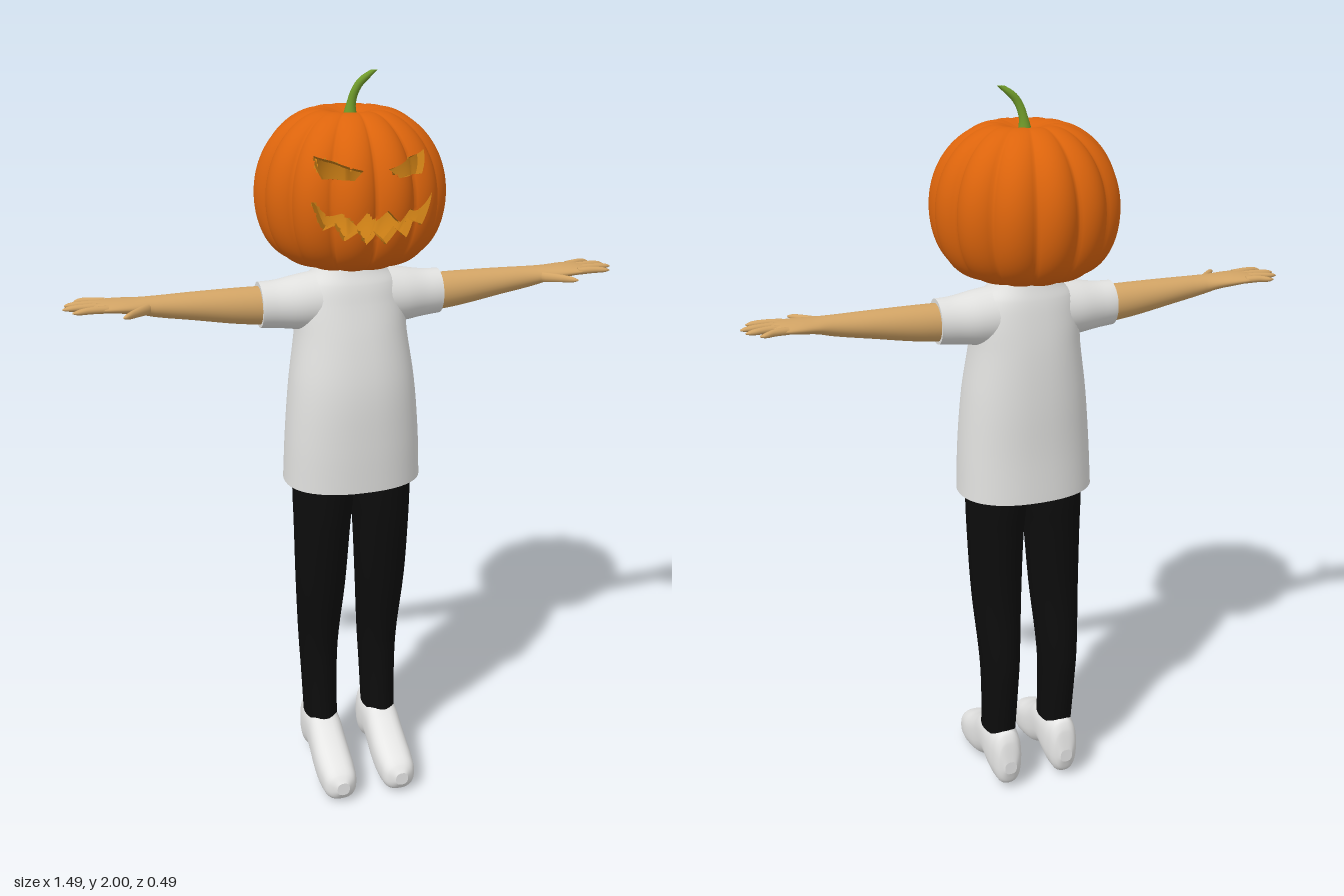
import * as THREE from 'three';

const mat = (name, hex) => Object.assign(new THREE.MeshStandardMaterial({ color: hex }), { name });

function geometryFrom(positions, index) {
  const g = new THREE.BufferGeometry();
  g.setAttribute('position', new THREE.Float32BufferAttribute(positions, 3));
  g.setIndex(index);
  g.computeVertexNormals();
  return g;
}

// Smooth capped body along an axis (0 x, 1 y, 2 z).
// Section: [position, centre u, centre v, radius u, radius v], u and v being the next axes in cyclic order.
function loft(axis, sections, power = 2, n = 32, sub = 5) {
  const curve = new THREE.CubicInterpolant(sections.map(s => s[0]), sections.flatMap(s => s.slice(1)), 4);
  const steps = [];
  sections.forEach((s, i) => {
    if (i) for (let k = 1; k <= sub; k++) steps.push(THREE.MathUtils.lerp(sections[i - 1][0], s[0], k / sub));
    else steps.push(s[0]);
  });
  const pos = [], index = [];
  const put = (t, u, v) => {
    const p = [0, 0, 0];
    p[axis] = t; p[(axis + 1) % 3] = u; p[(axis + 2) % 3] = v;
    pos.push(...p);
  };
  const bend = c => Math.sign(c) * Math.abs(c) ** (2 / power);
  const ring = t => {
    const [cu, cv, ru, rv] = Array.from(curve.evaluate(t));
    for (let j = 0; j < n; j++) {
      const a = j / n * Math.PI * 2;
      put(t, cu + ru * bend(Math.cos(a)), cv + rv * bend(Math.sin(a)));
    }
    return [cu, cv];
  };
  steps.forEach(ring);
  for (let i = 0; i < steps.length - 1; i++) for (let j = 0; j < n; j++) {
    const a = i * n + j, b = i * n + (j + 1) % n;
    index.push(a, b, b + n, a, b + n, a + n);
  }
  for (const end of [0, steps.length - 1]) {
    const base = pos.length / 3, c = ring(steps[end]);
    put(steps[end], ...c);
    for (let j = 0; j < n; j++) {
      const a = base + j, b = base + (j + 1) % n;
      index.push(base + n, ...(end ? [a, b] : [b, a]));
    }
  }
  return geometryFrom(pos, index);
}

function mirrored(geo) {
  const g = geo.clone().scale(-1, 1, 1), ix = g.index.array;
  for (let i = 0; i < ix.length; i += 3) [ix[i], ix[i + 1]] = [ix[i + 1], ix[i]];
  return g;
}

// Pumpkin surface by azimuth a (0 = front) and latitude f
const MID = 1.70, TOP = 0.22, LOW = 0.185, LOBES = 13;
function pumpkinRadius(a, f) {
  const c = Math.max(Math.cos(f), 0);
  return 0.246 * c ** (f > 0 ? 0.8 : 0.5) * (0.91 + 0.09 * Math.abs(Math.sin(a * LOBES / 2)) ** 0.7);
}
function pumpkinPoint(a, f, scale = 1) {
  const r = pumpkinRadius(a, f);
  const y = (f > 0 ? TOP : LOW) * Math.sin(f) - (f > 0 ? 0.03 * Math.exp(-((r / 0.06) ** 2)) : 0);
  return [scale * r * Math.sin(a), MID + scale * y, scale * r * Math.cos(a)];
}
// Front-plane point to surface angles
function toAngles([x, y]) {
  const f = Math.asin((y - MID) / (y > MID ? TOP : LOW));
  let a = 0;
  for (let i = 0; i < 30; i++) a = (a + Math.asin(x / pumpkinRadius(a, f))) / 2;
  return [a, f];
}

// Carved face outlines
const flip = pts => pts.map(([x, y]) => [-x, y]).reverse();
const eye = [[0.143, 1.825], [0.032, 1.793], [0.056, 1.772], [0.127, 1.772]];
const upper = [[0, 1.67], [0.026, 1.697], [0.055, 1.665], [0.085, 1.695], [0.11, 1.682], [0.155, 1.725]];
const lower = [[0.128, 1.648], [0.1, 1.66], [0.08, 1.622], [0.05, 1.647], [0.026, 1.612], [0, 1.635]];
const mouthHalf = [...upper, ...lower];
const mouth = [...mouthHalf, ...flip(mouthHalf).slice(1, -1)];
const holes = [eye, flip(eye), mouth].map(h => h.map(toAngles));

const inside = (x, y) => holes.some(h => h.reduce((odd, [ax, ay], i) => {
  const [bx, by] = h[(i + 1) % h.length];
  return (ay > y) !== (by > y) && x < (bx - ax) * (y - ay) / (by - ay) + ax ? !odd : odd;
}, false));

const NA = 220, NF = 76, DA = 2 * Math.PI / NA, DF = Math.PI / NF;

// Pull a grid point onto a nearby hole outline, corners first
function snap(a, f) {
  let best = null, bestD = 0.5;
  const test = (p, limit) => {
    const d = Math.hypot((p[0] - a) / DA, (p[1] - f) / DF);
    if (d < Math.min(bestD, limit)) { bestD = d; best = p; }
  };
  for (const h of holes) for (const p of h) test(p, 0.5);
  if (best) return best;
  for (const h of holes) h.forEach((p, i) => {
    const q = h[(i + 1) % h.length];
    const u = (q[0] - p[0]) / DA, v = (q[1] - p[1]) / DF;
    const t = ((a - p[0]) / DA * u + (f - p[1]) / DF * v) / (u * u + v * v);
    const k = THREE.MathUtils.clamp(t, 0, 1);
    test([p[0] + k * (q[0] - p[0]), p[1] + k * (q[1] - p[1])], 0.5);
  });
  return best || [a, f];
}

function pumpkinShell(scale, inward) {
  const grid = [], index = [];
  for (let i = 0; i <= NF; i++) for (let j = 0; j < NA; j++)
    grid.push(snap(-Math.PI + j * DA, -Math.PI / 2 + i * DF));
  const tri = (p, q, r) => {
    const [A, B, C] = [p, q, r].map(k => grid[k]);
    const nearFront = Math.abs(A[0]) < 1.5;
    if (nearFront && inside((A[0] + B[0] + C[0]) / 3, (A[1] + B[1] + C[1]) / 3)) return;
    index.push(...(inward ? [p, r, q] : [p, q, r]));
  };
  for (let i = 0; i < NF; i++) for (let j = 0; j < NA; j++) {
    const a = i * NA + j, b = i * NA + (j + 1) % NA;
    tri(a, b, b + NA);
    tri(a, b + NA, a + NA);
  }
  return geometryFrom(grid.flatMap(([a, f]) => pumpkinPoint(a, f, scale)), index);
}

// Cut walls joining the outer and inner shells
function cutWalls(innerScale) {
  const pos = [], index = [];
  for (const h of holes) h.forEach((p, i) => {
    const q = h[(i + 1) % h.length], base = pos.length / 3;
    for (let k = 0; k <= 8; k++) {
      const a = THREE.MathUtils.lerp(p[0], q[0], k / 8), f = THREE.MathUtils.lerp(p[1], q[1], k / 8);
      pos.push(...pumpkinPoint(a, f), ...pumpkinPoint(a, f, innerScale));
      if (k < 8) { const o = base + 2 * k; index.push(o, o + 1, o + 3, o, o + 3, o + 2); }
    }
  });
  return geometryFrom(pos, index);
}

export function createModel() {
  const model = new THREE.Group();
  model.name = 'pumpkinHeadFigure';
  const orange = mat('pumpkinOrange', 0xdc640c), flesh = mat('pumpkinFlesh', 0xc47a14);
  const green = mat('stemGreen', 0x6f9a2a), skin = mat('skin', 0xd2a465);
  const shirt = mat('shirtWhite', 0xe0e0de), black = mat('trouserBlack', 0x0c0c0c);
  const shoeWhite = mat('shoeWhite', 0xe6e6e5);
  flesh.side = THREE.DoubleSide;
  const add = (name, geo, material) => {
    const m = new THREE.Mesh(geo, material);
    m.name = name;
    model.add(m);
  };
  const pair = (name, geo, material) => {
    add(name + 'Left', geo, material);
    add(name + 'Right', mirrored(geo), material);
  };

  // Head
  add('pumpkinSkin', pumpkinShell(1, false), orange);
  add('pumpkinInside', pumpkinShell(0.91, true), flesh);
  add('carvedEdges', cutWalls(0.91), flesh);
  add('stem', loft(1, [[1.88, 0, 0, 0.02, 0.02], [1.92, 0, 0.004, 0.012, 0.012], [1.96, 0.005, 0.018, 0.01, 0.012],
    [1.985, 0.008, 0.04, 0.01, 0.014], [2, 0.01, 0.06, 0.006, 0.01]], 2, 14), green);

  // Shirt
  add('shirtBody', loft(1, [[0.92, 0.013, 0, 0.14, 0.187], [1.05, 0.016, 0, 0.138, 0.181], [1.2, 0.014, 0, 0.134, 0.168],
    [1.33, 0.006, 0, 0.118, 0.15], [1.42, 0, 0, 0.1, 0.142], [1.47, -0.002, 0, 0.088, 0.125],
    [1.5, -0.004, 0, 0.076, 0.095], [1.53, -0.005, 0, 0.066, 0.072]], 2.3, 48), shirt);
  pair('sleeve', loft(0, [[0.07, 1.42, 0, 0.08, 0.08], [0.14, 1.418, 0, 0.072, 0.074],
    [0.2, 1.417, 0, 0.063, 0.062], [0.245, 1.418, 0, 0.06, 0.056]]), shirt);

  // Arms and hands
  pair('arm', loft(0, [[0.2, 1.414, 0, 0.052, 0.05], [0.3, 1.42, 0, 0.047, 0.047], [0.42, 1.43, 0.001, 0.036, 0.04],
    [0.52, 1.438, 0.003, 0.026, 0.035], [0.56, 1.443, 0.003, 0.02, 0.041], [0.61, 1.447, 0.001, 0.016, 0.049],
    [0.65, 1.449, 0, 0.011, 0.05], [0.67, 1.45, 0, 0.006, 0.044]]), skin);
  const fingers = [[-0.036, -0.058, 0.71], [-0.012, -0.023, 0.738], [0.012, 0.009, 0.745], [0.037, 0.048, 0.725]];
  fingers.forEach(([z0, z1, tip], i) => pair('finger' + (i + 1), loft(0, [[0.635, 1.449, z0, 0.01, 0.012],
    [(0.635 + tip) / 2, 1.451, (z0 + z1) / 2, 0.009, 0.01], [tip - 0.012, 1.45, z1, 0.006, 0.008],
    [tip, 1.449, z1, 0.002, 0.003]], 2, 12), skin));
  pair('thumb', loft(0, [[0.53, 1.439, 0.022, 0.015, 0.018], [0.57, 1.442, 0.065, 0.011, 0.013],
    [0.597, 1.443, 0.093, 0.007, 0.01], [0.608, 1.443, 0.103, 0.002, 0.003]], 2, 12), skin);

  // Trousers
  pair('trouserLeg', loft(1, [[0.17, -0.008, 0.088, 0.07, 0.047], [0.3, -0.021, 0.088, 0.074, 0.05],
    [0.4, -0.024, 0.088, 0.077, 0.055], [0.6, 0.002, 0.087, 0.083, 0.069], [0.8, 0.014, 0.084, 0.096, 0.078],
    [0.88, 0.014, 0.081, 0.1, 0.083], [0.95, 0.014, 0.08, 0.1, 0.084]]), black);

  // Shoes, from [z, bottom, top, half width]
  const shoe = [[-0.112, 0.06, 0.1, 0.018], [-0.1, 0.026, 0.165, 0.034], [-0.065, 0.018, 0.19, 0.046],
    [-0.03, 0.032, 0.192, 0.05], [0.01, 0.05, 0.192, 0.051], [0.045, 0.034, 0.187, 0.051], [0.08, 0.016, 0.162, 0.052],
    [0.13, 0.005, 0.13, 0.053], [0.18, 0, 0.108, 0.05], [0.215, 0.008, 0.088, 0.04], [0.232, 0.03, 0.068, 0.018]];
  pair('shoe', loft(2, shoe.map(([z, lo, hi, w]) => [z, 0.087, (lo + hi) / 2, w, (hi - lo) / 2]), 2.5), shoeWhite);

  return model;
}
